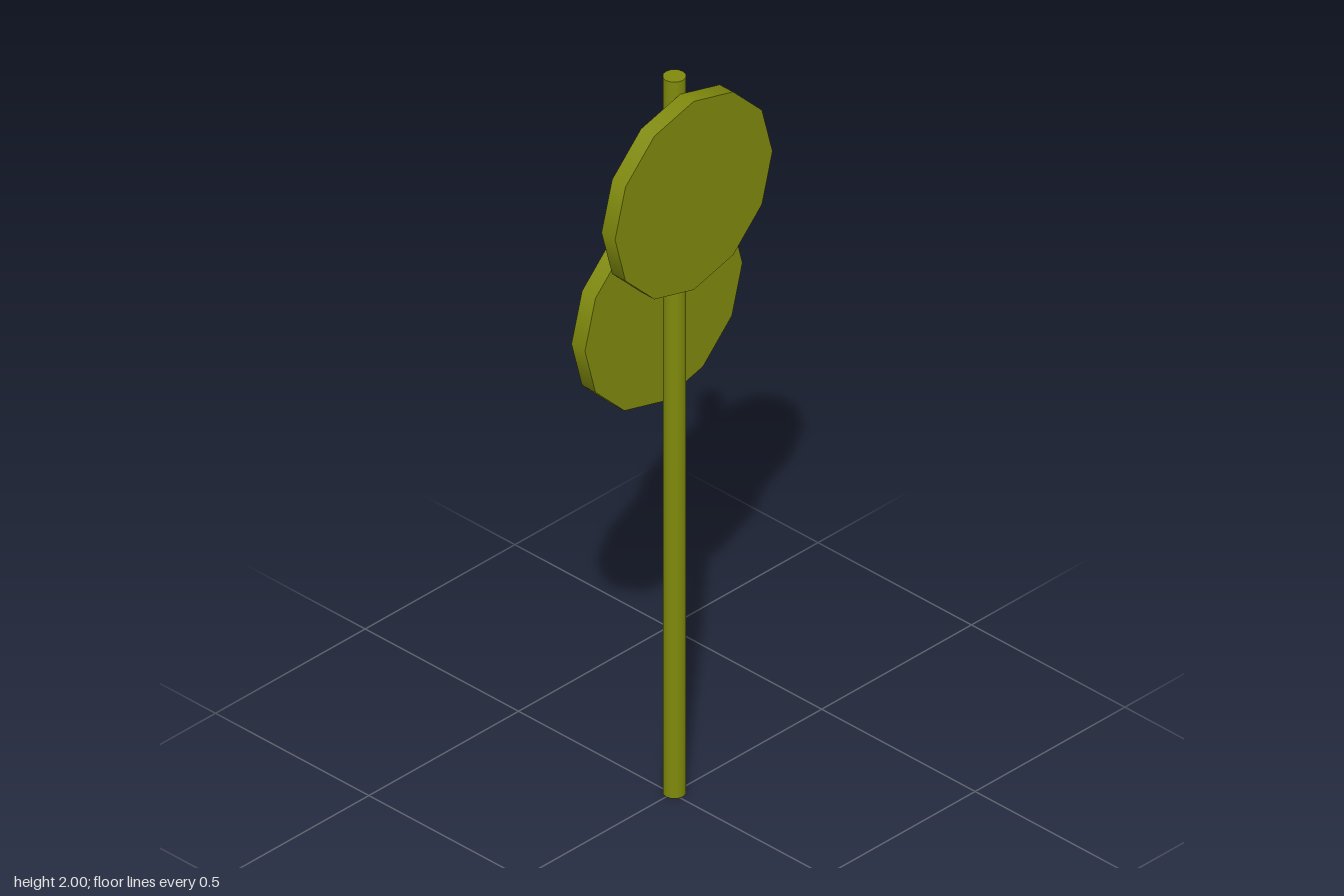
import * as THREE from 'three';

export function createModel() {
  const model = new THREE.Group();
  const olive = new THREE.MeshStandardMaterial({ color: 0x808a0c });

  // Upright pole, standing slightly behind the disc centres
  const pole = new THREE.Mesh(new THREE.CylinderGeometry(0.028, 0.028, 2, 12), olive);
  pole.name = 'pole';
  pole.position.set(0, 1, -0.008);
  model.add(pole);

  // Twelve-sided discs, one on each side of the pole
  const discGeometry = new THREE.CylinderGeometry(0.263, 0.263, 0.044, 12).rotateZ(Math.PI / 2);
  for (const [name, x, y] of [['upperDisc', 0.049, 1.702], ['lowerDisc', -0.049, 1.346]]) {
    const disc = new THREE.Mesh(discGeometry, olive);
    disc.name = name;
    disc.position.set(x, y, 0);
    model.add(disc);
  }

  return model;
}
